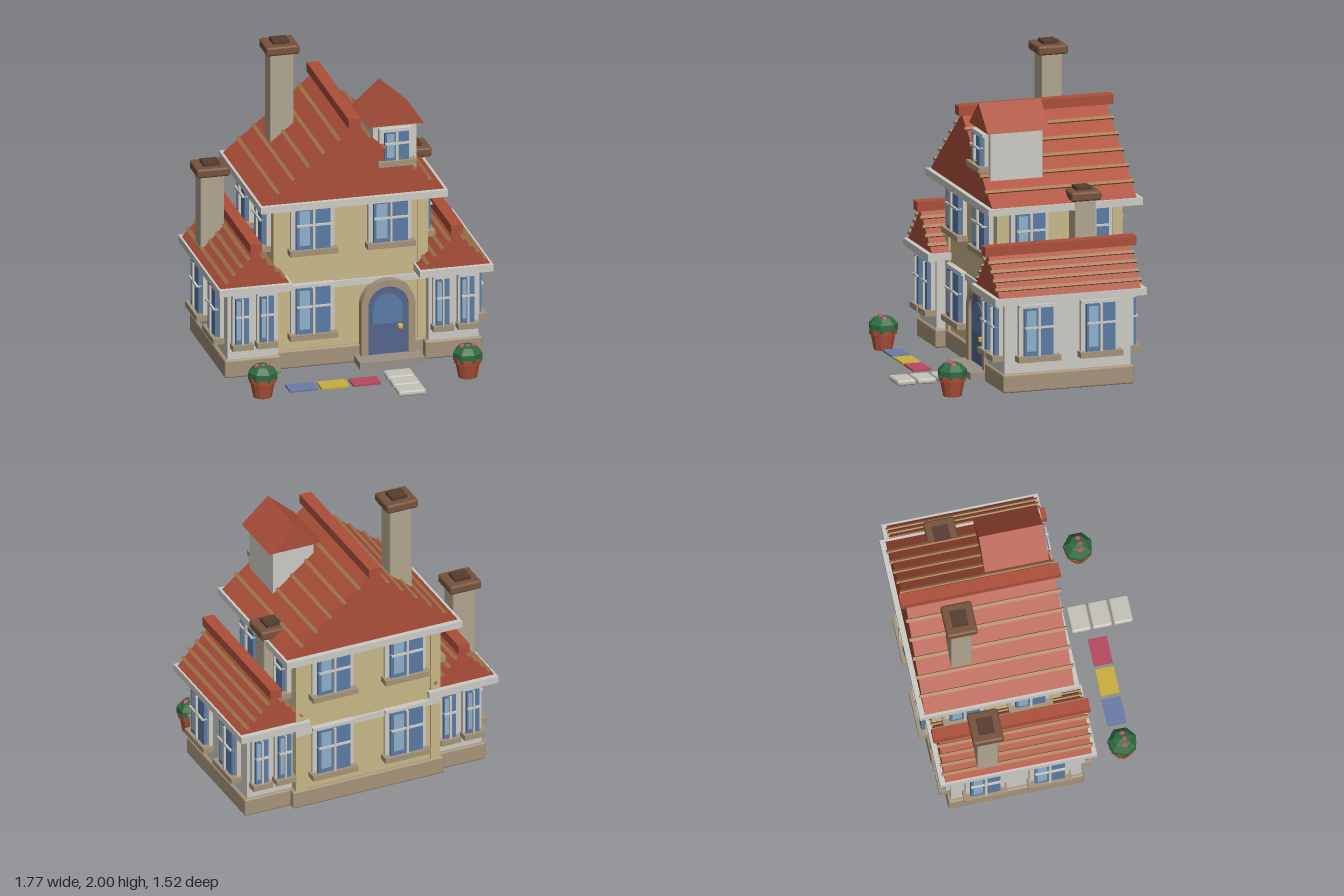
import * as THREE from 'three';
import { RoundedBoxGeometry } from 'three/addons/geometries/RoundedBoxGeometry.js';

const mat = (color) => new THREE.MeshStandardMaterial({ color, flatShading: true });
const M = {
  wall: mat(0xc8b888), trim: mat(0xcccac4), base: mat(0xa5937a), roof: mat(0xac4f39),
  batten: mat(0xa8794f), glass: mat(0x5a7ba5), glint: mat(0x8fb0cc), door: mat(0x56658c),
  stone: mat(0xb0a590), cap: mat(0x76523c), soot: mat(0x573d2e), step: mat(0x9a9184),
  leaf: mat(0x2f6b40), pot: mat(0xad5138), pink: mat(0xc8506c), gold: mat(0xd8b040),
  paver: mat(0xc4c2b8), blue: mat(0x6a7ba6), yellow: mat(0xc9ae3c), red: mat(0xb8485f),
};

function add(parent, name, geo, material, x = 0, y = 0, z = 0) {
  const m = new THREE.Mesh(geo, material);
  m.name = name;
  m.position.set(x, y, z);
  parent.add(m);
  return m;
}

// Box given by its extents; r > 0 softens the edges
function box(parent, name, material, x0, x1, y0, y1, z0, z1, r = 0) {
  const d = [x1 - x0, y1 - y0, z1 - z0];
  const geo = r ? new RoundedBoxGeometry(...d, 2, r) : new THREE.BoxGeometry(...d);
  return add(parent, name, geo, material, (x0 + x1) / 2, (y0 + y1) / 2, (z0 + z1) / 2);
}

function subgroup(parent, name, x = 0, y = 0, z = 0) {
  const g = new THREE.Group();
  g.name = name;
  g.position.set(x, y, z);
  parent.add(g);
  return g;
}

// Triangular prism running along z
function prism(parent, name, material, cx, half, y0, y1, z0, z1) {
  const s = new THREE.Shape([
    new THREE.Vector2(-half, y0), new THREE.Vector2(half, y0), new THREE.Vector2(0, y1)]);
  const geo = new THREE.ExtrudeGeometry(s, { depth: z1 - z0, bevelEnabled: false });
  return add(parent, name, geo, material, cx, 0, z0);
}

// Window facing local +z, origin at the bottom centre of the glass on the wall
function windowUnit(parent, w, h, x, y, z, turn = 0) {
  const g = subgroup(parent, 'window', x, y, z);
  g.rotation.y = turn;
  const t = Math.min(0.03, w * 0.2), bar = Math.min(0.016, w * 0.14);
  box(g, 'glass', M.glass, -w / 2, w / 2, 0, h, -0.01, 0.05);
  box(g, 'glint', M.glint, -w * 0.42, -w * 0.1, h * 0.1, h * 0.95, 0.045, 0.053);
  for (const s of [-1, 1]) {
    const c = s * (w + t) / 2;
    box(g, 'sideFrame', M.trim, c - t / 2, c + t / 2, 0, h, -0.01, 0.028);
  }
  box(g, 'headFrame', M.trim, -w / 2 - t, w / 2 + t, h, h + 0.02, -0.01, 0.04);
  box(g, 'mullion', M.trim, -bar / 2, bar / 2, 0, h, 0, 0.064);
  box(g, 'crossBar', M.trim, -w / 2, w / 2, h * 0.58, h * 0.58 + 0.012, 0, 0.064);
  box(g, 'sill', M.base, -w / 2 - t * 1.5, w / 2 + t * 1.5, -0.036, 0, -0.01, 0.072);
}

// Gable roof with eaves slab, ridge beam and battens along the slopes
function gableRoof(parent, o) {
  const g = subgroup(parent, 'gableRoof');
  const { cx, eave, half, y0, y1, ez, rz, n, step, ridge } = o;
  box(g, 'eaves', M.trim, cx - eave, cx + eave, y0 - 0.045, y0, ez[0], ez[1]);
  prism(g, 'roofSlopes', M.roof, cx, half, y0, y1, rz[0], rz[1]);
  box(g, 'ridge', M.roof, cx - ridge, cx + ridge, y1 - 0.005, y1 + 0.055, ez[0], ez[1]);
  const angle = Math.atan2(y1 - y0, half);
  for (const s of [-1, 1]) for (let i = 1; i <= n; i++) {
    const x = i * step;
    const b = add(g, 'batten', new THREE.BoxGeometry(0.022, 0.016, rz[1] - rz[0] + 0.03),
      M.batten, cx + s * x, y1 - x * (y1 - y0) / half + 0.004, (rz[0] + rz[1]) / 2);
    b.rotation.z = -s * angle;
  }
}

function chimney(parent, x, z, y0, y1) {
  const g = subgroup(parent, 'chimney', x, 0, z);
  box(g, 'shaft', M.stone, -0.077, 0.077, y0, y1 - 0.07, -0.068, 0.068, 0.01);
  box(g, 'cap', M.cap, -0.107, 0.107, y1 - 0.08, y1 - 0.02, -0.098, 0.098, 0.015);
  box(g, 'flue', M.soot, -0.053, 0.053, y1 - 0.03, y1, -0.05, 0.05);
}

// Arched outline standing on y0, with its half circle centred at yc
function arch(r, y0, yc, Type = THREE.Shape) {
  const s = new Type();
  s.moveTo(-r, y0);
  s.lineTo(r, y0);
  s.lineTo(r, yc);
  s.absarc(0, yc, r, 0, Math.PI, false);
  s.lineTo(-r, y0);
  return s;
}

function entrance(parent) {
  const g = subgroup(parent, 'entrance', 0.23, 0, 0.13);
  const ext = (s, depth) => new THREE.ExtrudeGeometry(s, { depth, bevelEnabled: false, curveSegments: 14 });
  const surround = arch(0.174, 0.05, 0.405);
  surround.holes.push(arch(0.13, 0.051, 0.405, THREE.Path));
  add(g, 'doorSurround', ext(surround, 0.085), M.base);
  add(g, 'door', ext(arch(0.13, 0.05, 0.405), 0.065), M.door);
  add(g, 'doorGlass', ext(arch(0.095, 0.285, 0.385), 0.072), M.glass);
  box(g, 'doorHandle', M.gold, 0.064, 0.094, 0.245, 0.275, 0.06, 0.09, 0.006);
  box(g, 'doorStep', M.step, -0.21, 0.21, 0.035, 0.08, 0, 0.187);
}

function pottedPlant(parent, x) {
  const g = subgroup(parent, 'pottedPlant', x, 0, 0.515);
  const profile = [[0, 0.005], [0.06, 0.005], [0.079, 0.105], [0.088, 0.105], [0.09, 0.135], [0, 0.135]];
  add(g, 'pot', new THREE.LatheGeometry(profile.map(p => new THREE.Vector2(...p)), 12), M.pot);
  const leaf = add(g, 'foliage', new THREE.SphereGeometry(0.098, 7, 5), M.leaf, 0, 0.148, 0);
  leaf.scale.y = 0.76;
  for (const [dx, dz] of [[-0.038, 0.005], [0, 0.012], [0.038, 0.005]])
    add(g, 'flower', new THREE.IcosahedronGeometry(0.021, 0), M.pink, dx, 0.207, dz);
}

export function createModel() {
  const root = new THREE.Group();
  root.name = 'house';
  const Q = Math.PI / 2;

  // Main block
  const main = subgroup(root, 'mainBlock');
  box(main, 'foundation', M.base, -0.52, 0.52, 0.03, 0.15, -0.675, 0.17, 0.012);
  box(main, 'walls', M.wall, -0.49, 0.49, 0.14, 1.13, -0.655, 0.15);
  for (const sx of [-1, 1]) for (const z of [-0.635, 0.13])
    box(main, 'cornerPost', M.wall, sx * 0.465 - 0.033, sx * 0.465 + 0.033, 0.14, 1.12, z - 0.032, z + 0.032);
  box(main, 'floorBand', M.trim, -0.5, 0.5, 0.545, 0.585, -0.67, 0.165);
  for (const x of [-0.25, 0.25]) {
    windowUnit(main, 0.22, 0.27, x, 0.83, 0.15);
    if (x < 0) windowUnit(main, 0.22, 0.305, x, 0.265, 0.15);
    windowUnit(main, 0.22, 0.27, x, 0.83, -0.655, Math.PI);
    windowUnit(main, 0.22, 0.305, x, 0.265, -0.655, Math.PI);
  }
  for (const s of [-1, 1]) for (const z of [-0.465, -0.045])
    windowUnit(main, 0.19, 0.27, s * 0.495, 0.83, z, s * Q);
  gableRoof(main, { cx: 0, eave: 0.605, half: 0.588, y0: 1.16, y1: 1.64, ez: [-0.765, 0.255],
    rz: [-0.73, 0.225], n: 5, step: 0.098, ridge: 0.039 });
  chimney(main, -0.298, -0.45, 1.25, 2);
  entrance(main);

  // Dormer
  const dormer = subgroup(root, 'dormer');
  box(dormer, 'dormerWalls', M.trim, 0.14, 0.42, 1.24, 1.61, -0.165, 0.18);
  prism(dormer, 'dormerRoof', M.roof, 0.28, 0.18, 1.608, 1.77, -0.2, 0.21);
  windowUnit(dormer, 0.155, 0.185, 0.28, 1.385, 0.18);

  // Side wings
  for (const s of [-1, 1]) {
    const wing = subgroup(root, s > 0 ? 'leftWing' : 'rightWing');
    const c = s * 0.648;
    box(wing, 'foundation', M.base, c - 0.183, c + 0.183, 0.03, 0.15, -0.63, 0.235, 0.012);
    box(wing, 'walls', M.trim, c - 0.162, c + 0.162, 0.14, 0.61, -0.61, 0.222);
    for (const z of [-0.4, 0.01])
      windowUnit(wing, 0.19, 0.305, s * 0.81, 0.265, z, s * Q);
    for (const d of [-0.08, 0.08]) {
      windowUnit(wing, 0.085, 0.305, c + d, 0.265, 0.222);
      windowUnit(wing, 0.085, 0.305, c + d, 0.265, -0.61, Math.PI);
    }
    gableRoof(wing, { cx: c, eave: 0.238, half: 0.224, y0: 0.65, y1: 0.885, ez: [-0.695, 0.305],
      rz: [-0.66, 0.275], n: 4, step: 0.046, ridge: 0.038 });
    chimney(wing, s > 0 ? 0.538 : -0.765, -0.382, 0.66, 1.255);
    pottedPlant(root, s * 0.662);
  }

  // Garden paving
  [M.blue, M.yellow, M.red].forEach((m, i) => {
    const x = -0.41 + i * 0.204;
    box(root, 'colouredTile', m, x - 0.09, x + 0.09, 0.03, 0.042, 0.455, 0.575);
  });
  for (let i = 0; i < 3; i++) {
    const z = 0.43 + i * 0.134;
    box(root, 'steppingStone', M.paver, 0.155, 0.332, 0.006, 0.042, z - 0.062, z + 0.062, 0.014);
  }
  return root;
}
